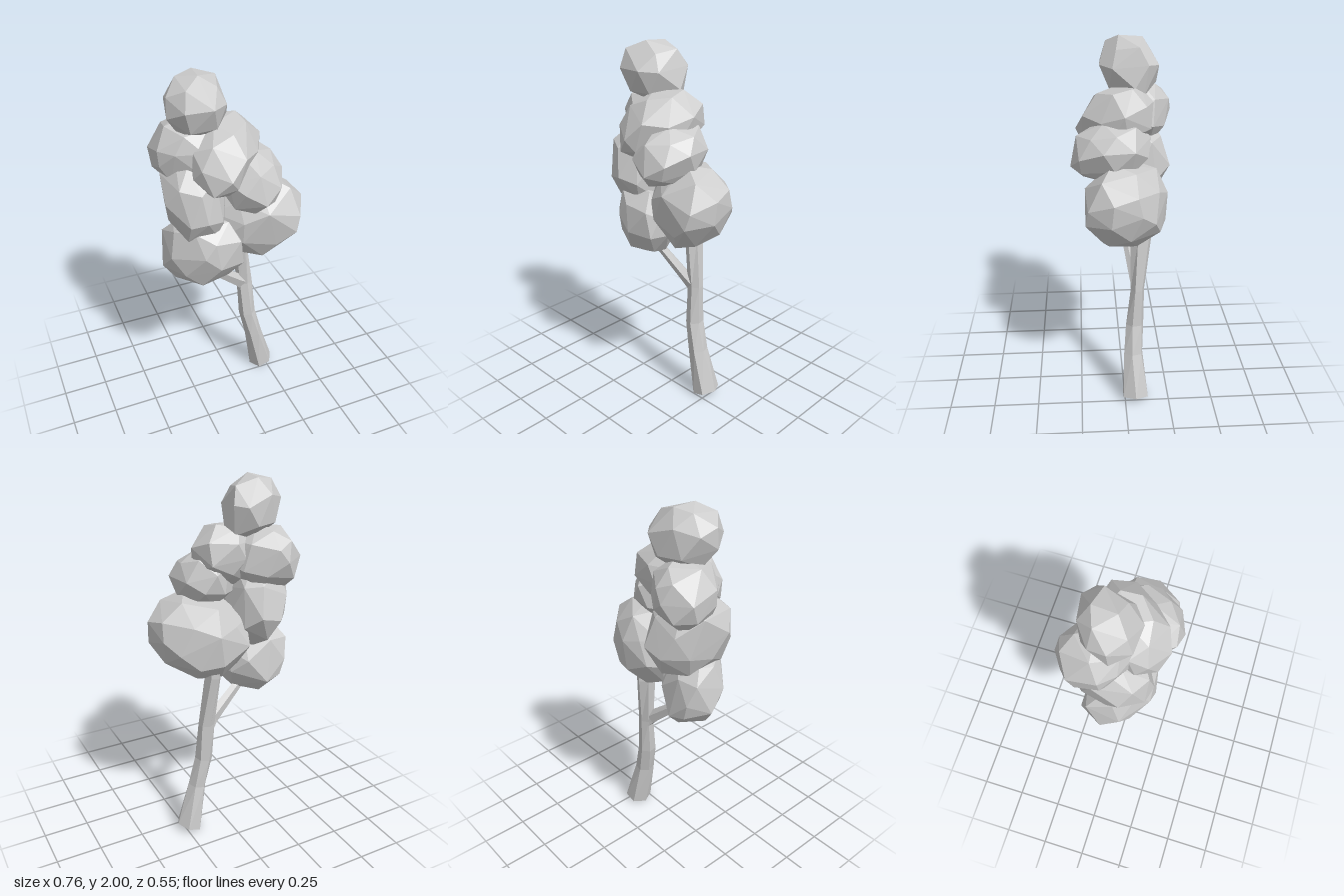
import * as THREE from 'three';
import { ConvexGeometry } from 'three/addons/geometries/ConvexGeometry.js';

const material = new THREE.MeshStandardMaterial({
  color: 0xcccccc, flatShading: true, side: THREE.DoubleSide,
});

function seeded(seed) {
  let s = seed * 7919 + 17;
  return () => (s = (s * 16807) % 2147483647) / 2147483647;
}

// Faceted leaf clump: hull of scattered sphere points, leaned and fitted to a box
// lean = [rise of y along x, rise of y along z, shift of z along x]
function clump(min, max, lean, seed, count) {
  const rand = seeded(seed);
  const points = [];
  for (let i = 0; i < count; i++) {
    const y = 1 - (2 * (i + 0.5)) / count;
    const a = i * 2.39996 + seed + (rand() - 0.5) * 0.5;
    const r = Math.sqrt(1 - y * y);
    const p = new THREE.Vector3(r * Math.cos(a), y, r * Math.sin(a));
    points.push(p.multiplyScalar(0.95 + 0.1 * rand()));
  }
  // Turn the point pattern so its poles differ between clumps
  const turn = new THREE.Euler(seed * 1.3, seed * 0.7, seed * 2.1);
  for (const p of points) {
    p.applyEuler(turn);
    p.y += lean[0] * p.x + lean[1] * p.z;
    p.z += lean[2] * p.x;
  }
  const box = new THREE.Box3().setFromPoints(points);
  const size = box.getSize(new THREE.Vector3());
  const lo = new THREE.Vector3(...min);
  const span = new THREE.Vector3(...max).sub(lo);
  points.forEach((p) => p.sub(box.min).divide(size).multiply(span).add(lo));
  return new ConvexGeometry(points);
}

// Open tapered limb through rings [x, y, z, radiusX, radiusZ, slope, twist]
function limb(rings, sides) {
  const pos = [];
  const index = [];
  for (const [x, y, z, rx, rz, slope = 0, twist = 0] of rings) {
    for (let i = 0; i < sides; i++) {
      const a = (i / sides) * Math.PI * 2 + twist;
      const dx = rx * Math.cos(a);
      pos.push(x + dx, y + slope * dx, z + rz * Math.sin(a));
    }
  }
  for (let k = 0; k < rings.length - 1; k++) {
    for (let i = 0; i < sides; i++) {
      const a = k * sides + i;
      const b = k * sides + ((i + 1) % sides);
      index.push(a, a + sides, b, b, a + sides, b + sides);
    }
  }
  const geometry = new THREE.BufferGeometry();
  geometry.setAttribute('position', new THREE.Float32BufferAttribute(pos, 3));
  geometry.setIndex(index);
  const flat = geometry.toNonIndexed();
  flat.computeVertexNormals();
  return flat;
}

export function createModel() {
  const tree = new THREE.Group();
  tree.name = 'tree';
  const add = (name, geometry, parent = tree) => {
    const mesh = new THREE.Mesh(geometry, material);
    mesh.name = name;
    parent.add(mesh);
  };

  // Leaning trunk, flared at the foot
  add('trunk', limb([
    [0.225, 0.022, -0.06, 0.07, 0.08, 0.3, 0],
    [0.166, 0.28, -0.05, 0.05, 0.057, 0.15, 0.15],
    [0.127, 0.45, -0.06, 0.048, 0.051, 0.1, 0.3],
    [0.114, 0.67, -0.075, 0.046, 0.038, 0, 0.4],
    [0.082, 0.97, -0.093, 0.041, 0.06, 0, 0.3],
    [0.075, 1.12, -0.095, 0.035, 0.05, 0, 0.3],
  ], 6));

  // Side branch reaching into the lowest clump
  add('branch', limb([
    [0.11, 0.665, -0.075, 0.032, 0.034, 1.24],
    [0.068, 0.7, -0.062, 0.025, 0.03, 1.24],
    [-0.09, 0.835, -0.03, 0.019, 0.024, 1.24],
    [-0.17, 0.9, -0.01, 0.015, 0.02, 1.24],
  ], 5));

  // Overlapping leaf clumps
  const foliage = new THREE.Group();
  foliage.name = 'foliage';
  tree.add(foliage);
  const clumps = [
    ['topClump', [-0.335, 1.68, -0.19], [0, 2, 0.115], [-0.1, 0, -0.25], 1, 24],
    ['upperBackClump', [-0.385, 1.4, -0.275], [-0.02, 1.765, 0.1], [0, 0, 0.2], 2, 28],
    ['upperFrontClump', [-0.245, 1.4, -0.16], [0.155, 1.77, 0.245], [0.2, -0.25, -0.3], 3, 30],
    ['middleFrontClump', [-0.115, 1.305, -0.14], [0.235, 1.615, 0.275], [0, -0.2, -0.05], 4, 30],
    ['largeLeftClump', [-0.115, 0.955, -0.23], [0.38, 1.425, 0.205], [0.12, 0, 0.25], 5, 36],
    ['middleRightClump', [-0.38, 1.09, -0.265], [-0.02, 1.56, 0.2], [-0.15, 0, -0.15], 6, 30],
    ['lowerRightClump', [-0.385, 0.8, -0.18], [0.025, 1.26, 0.2], [0, 0.2, 0.35], 7, 30],
  ];
  for (const [name, min, max, lean, seed, count] of clumps) {
    add(name, clump(min, max, lean, seed, count), foliage);
  }
  return tree;
}
